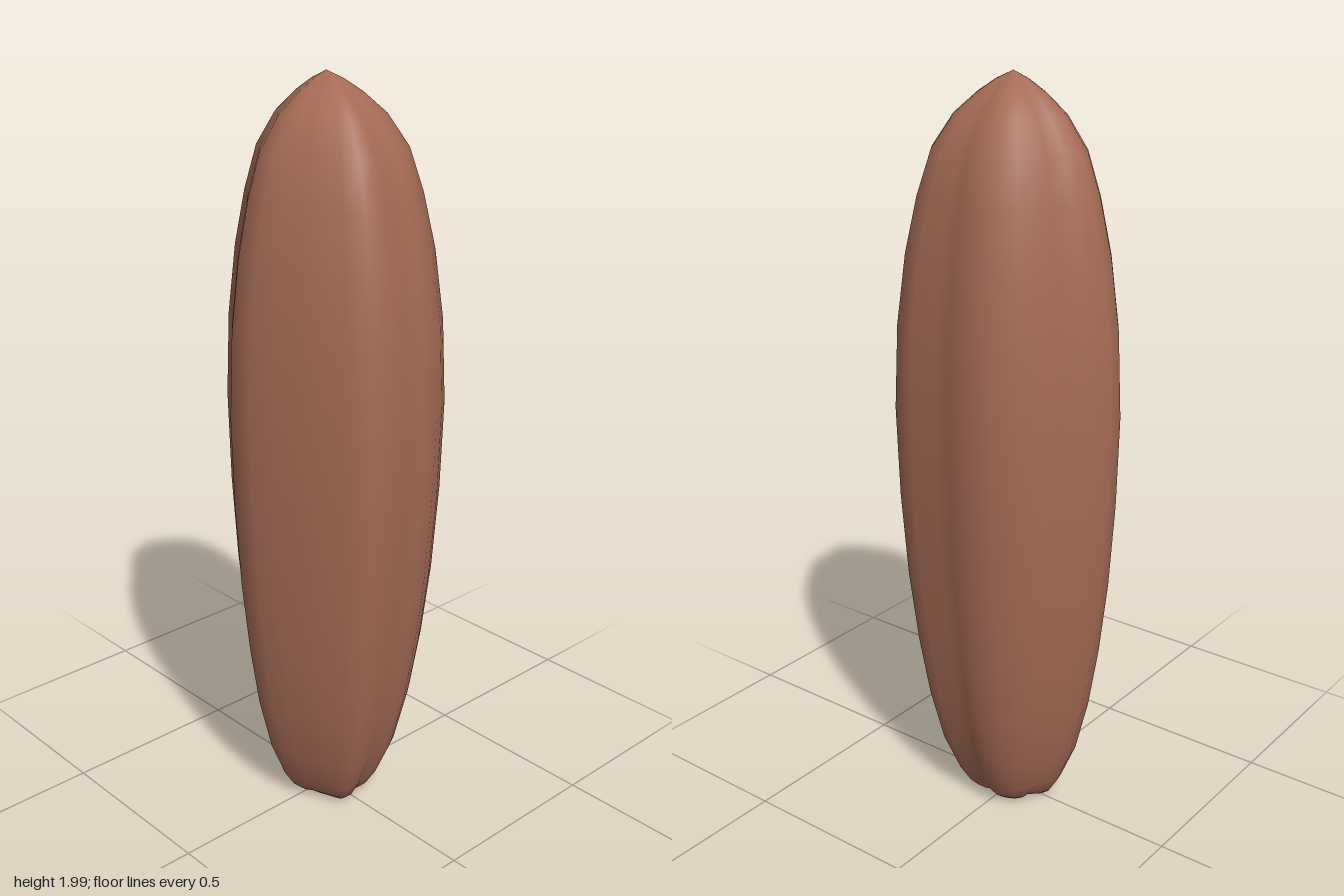
import * as THREE from 'three';

// Ribbed cross-section at the widest point, as [x, z], going back -> left -> front -> right
const OUTLINE = [
  [-0.06, -0.27], [0.005, -0.257], [0.07, -0.238], [0.14, -0.246], [0.206, -0.225], [0.247, -0.171], [0.276, -0.121],
  [0.283, -0.068], [0.283, -0.009], [0.306, 0.052], [0.297, 0.116], [0.244, 0.154], [0.188, 0.186], [0.131, 0.216],
  [0.069, 0.236], [0.008, 0.264], [-0.063, 0.266], [-0.113, 0.225], [-0.163, 0.182], [-0.219, 0.15], [-0.258, 0.107],
  [-0.294, 0.054], [-0.308, -0.009], [-0.272, -0.061], [-0.235, -0.111], [-0.222, -0.171], [-0.183, -0.218], [-0.124, -0.252],
];

// Lengthwise profile: [height, scale of the cross-section, rib strength]
const PROFILE = [
  [0.03, 0, 1], [0.015, 0.1, 1.6], [0.008, 0.2, 1.7], [0.012, 0.31, 1.6], [0.03, 0.39, 1.4], [0.075, 0.49, 1.2],
  [0.18, 0.64, 1.1], [0.33, 0.765, 1], [0.5, 0.855, 1], [0.7, 0.93, 1], [0.93, 0.98, 1], [1.17, 1, 1],
  [1.39, 0.965, 1], [1.57, 0.885, 1], [1.71, 0.78, 1], [1.82, 0.66, 1], [1.9, 0.48, 1], [1.95, 0.29, 1],
  [1.98, 0.14, 1], [2, 0, 1],
];

// Loft of the outline along the profile, with ribs deepened by their strength
function ribbedLoft(outline, profile) {
  const n = outline.length;
  const mean = outline.reduce((sum, [x, z]) => sum + Math.hypot(x, z), 0) / n;
  const positions = [];
  const index = [];
  for (const [y, scale, ribs] of profile) {
    for (const [x, z] of outline) {
      const k = scale * Math.pow(Math.hypot(x, z) / mean, ribs - 1);
      positions.push(x * k, y, z * k);
    }
  }
  for (let i = 0; i < profile.length - 1; i++) {
    for (let j = 0; j < n; j++) {
      const a = i * n + j;
      const b = i * n + (j + 1) % n;
      if (i > 0) index.push(a, a + n, b);
      if (i < profile.length - 2) index.push(b, a + n, b + n);
      if (i === 0) index.push(a, a + n, b + n);
    }
  }
  const geometry = new THREE.BufferGeometry();
  geometry.setAttribute('position', new THREE.Float32BufferAttribute(positions, 3));
  geometry.setIndex(index);
  geometry.computeVertexNormals();
  return geometry;
}

export function createModel() {
  const brown = new THREE.MeshStandardMaterial({ color: 0xa56b55 });
  brown.name = 'reddish brown';

  const group = new THREE.Group();
  group.name = 'ribbedPod';

  // Pod body, closed at the pointed tip and the dimpled base
  const body = new THREE.Mesh(ribbedLoft(OUTLINE, PROFILE), brown);
  body.name = 'podBody';
  group.add(body);
  return group;
}
